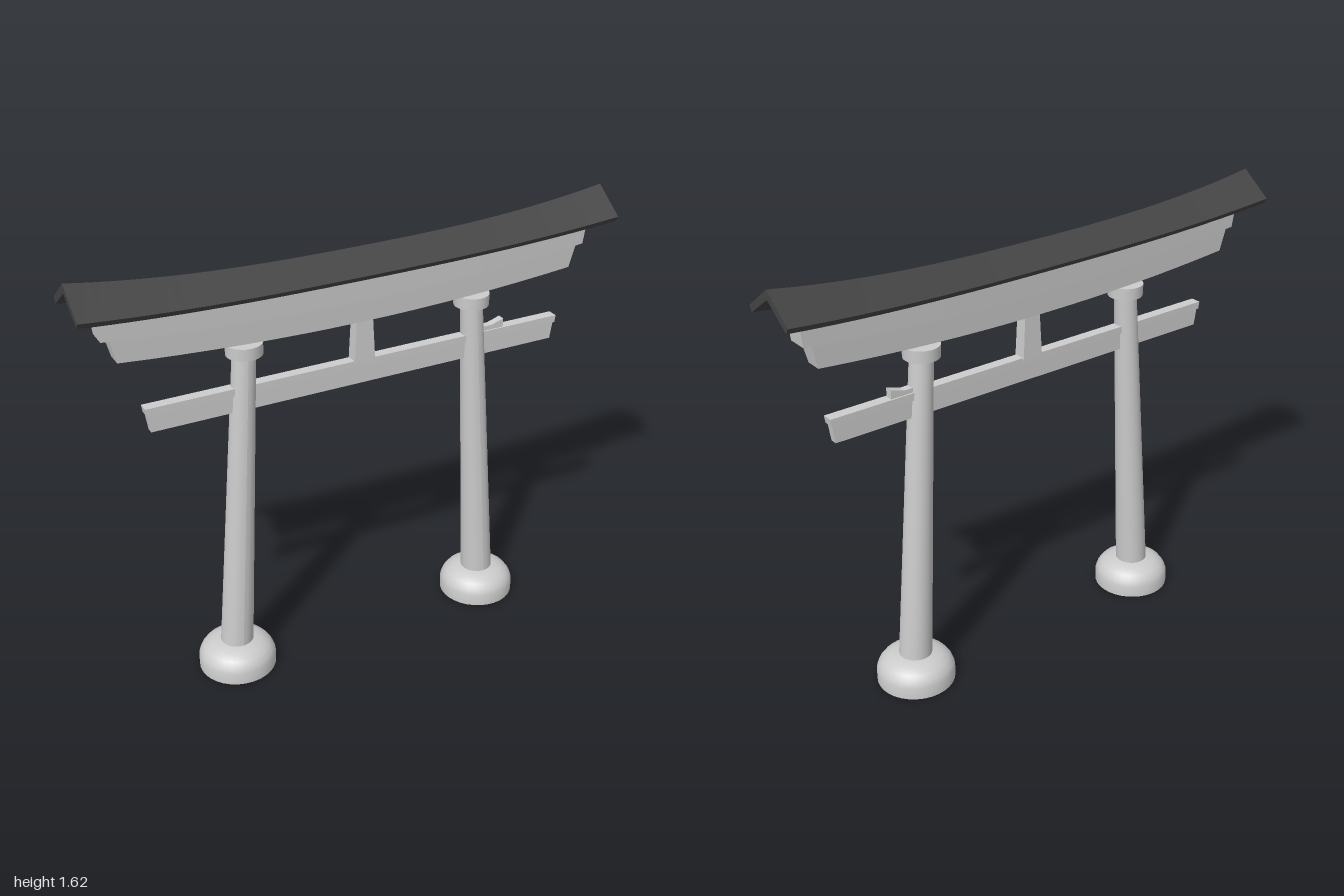
import * as THREE from 'three';
import { toCreasedNormals } from 'three/addons/utils/BufferGeometryUtils.js';

const stone = new THREE.MeshStandardMaterial({ color: 0xcccccc });
stone.name = 'pale stone';
const slate = new THREE.MeshStandardMaterial({ color: 0x444444 });
slate.name = 'dark roof';

const MID = 0.024; // the posts stand slightly off the roof's centre

// Sweep a cross-section along x; section(t) gives [y, z, halfLength] points, t from -1 to 1.
// Points run towards +z along the bottom, then up the front and back over the top.
function sweep(section, steps, cx = 0) {
  const pos = [], index = [];
  const n = section(0).length;
  for (let i = 0; i <= steps; i++) {
    const t = -1 + (2 * i) / steps;
    for (const [y, z, half] of section(t)) pos.push(cx + t * half, y, z);
  }
  for (let i = 0; i < steps; i++) {
    for (let j = 0; j < n; j++) {
      const a = i * n + j, d = i * n + ((j + 1) % n), b = a + n, c = d + n;
      index.push(a, b, c, a, c, d);
    }
  }
  const last = steps * n;
  for (let j = 1; j < n - 1; j++) {
    index.push(0, j, j + 1, last, last + j + 1, last + j);
  }
  const geo = new THREE.BufferGeometry();
  geo.setAttribute('position', new THREE.Float32BufferAttribute(pos, 3));
  geo.setIndex(index);
  return toCreasedNormals(geo, 0.4);
}

// Four-cornered beam section, bottom and top each given as [y, halfDepth, halfLength]
const bar = ([y0, z0, h0], [y1, z1, h1]) =>
  [[y0, -z0, h0], [y0, z0, h0], [y1, z1, h1], [y1, -z1, h1]];

export function createModel() {
  const model = new THREE.Group();
  const add = (name, geo, mat = stone, parent = model) => {
    const mesh = new THREE.Mesh(geo, mat);
    mesh.name = name;
    parent.add(mesh);
    return mesh;
  };

  // Curved ridge roof, flaring towards both ends
  add('roof', sweep((t) => {
    const s = Math.abs(t) ** 2.6;
    const ridge = 1.56 + 0.062 * s, eave = 1.493 + 0.042 * s;
    const low = 1.475 + 0.04 * s, w = 0.098 + 0.019 * s;
    return [
      [ridge - 0.033, -0.004, 1],
      [low, w - 0.012, 1], [eave, w, 1],
      [ridge, -0.004, 1],
      [eave, -w - 0.004, 1], [low, -w + 0.008, 1],
    ];
  }, 24), slate);

  // Two stacked curved lintels
  add('upperLintel', sweep((t) => bar(
    [1.377 + 0.045 * t * t, 0.037, 0.912],
    [1.503 + 0.05 * t * t, 0.043, 0.928]), 16));
  add('lowerLintel', sweep((t) => bar(
    [1.297 + 0.04 * t * t, 0.03, 0.863],
    [1.38 + 0.042 * t * t, 0.0355, 0.884]), 16));

  // Straight tie beam with a wider top ledge
  add('tieBeam', sweep(() => bar([1.055, 0.013, 0.79], [1.122, 0.014, 0.8]), 1, MID));
  add('tieBeamLedge', sweep(() => bar([1.12, 0.02, 0.803], [1.147, 0.02, 0.807]), 1, MID));

  // Short strut between tie beam and lintel
  add('centreStrut', sweep(() => bar([1.14, 0.024, 0.04], [1.31, 0.022, 0.031]), 1, MID));

  // Wedge driven in beside the left post
  const wedge = new THREE.Shape([
    [0.46, 1.14], [0.6, 1.147], [0.6, 1.18], [0.55, 1.164], [0.46, 1.164],
  ].map(([x, y]) => new THREE.Vector2(x, y)));
  const wedgeGeo = new THREE.ExtrudeGeometry(wedge, { depth: 0.028, bevelEnabled: false });
  wedgeGeo.translate(0, 0, -0.014);
  add('wedge', wedgeGeo);

  // Leaning posts with round feet and collars
  const footProfile = [
    [0, 0], [0.143, 0], [0.143, 0.045], [0.136, 0.065],
    [0.121, 0.085], [0.095, 0.1], [0.06, 0.109], [0, 0.11],
  ].map(([r, y]) => new THREE.Vector2(r, y));

  for (const side of [1, -1]) {
    const post = new THREE.Group();
    post.name = side > 0 ? 'leftPost' : 'rightPost';
    post.position.x = MID;
    model.add(post);

    const foot = add('foot', toCreasedNormals(new THREE.LatheGeometry(footProfile, 32), 0.7), stone, post);
    foot.position.x = side * 0.524;

    // Shear the tapered shaft so its ends stay level
    const shaft = new THREE.CylinderGeometry(0.041, 0.061, 1.2, 24, 6);
    const p = shaft.attributes.position;
    for (let i = 0; i < p.count; i++) {
      const f = p.getY(i) / 1.2 + 0.5;
      p.setX(i, p.getX(i) + side * (0.524 - 0.081 * f));
    }
    shaft.translate(0, 0.68, 0);
    shaft.computeVertexNormals();
    add('shaft', shaft, stone, post);

    const collar = add('collar', new THREE.CylinderGeometry(0.065, 0.064, 0.044, 24), stone, post);
    collar.position.set(side * 0.443, 1.282, 0);
  }
  return model;
}
